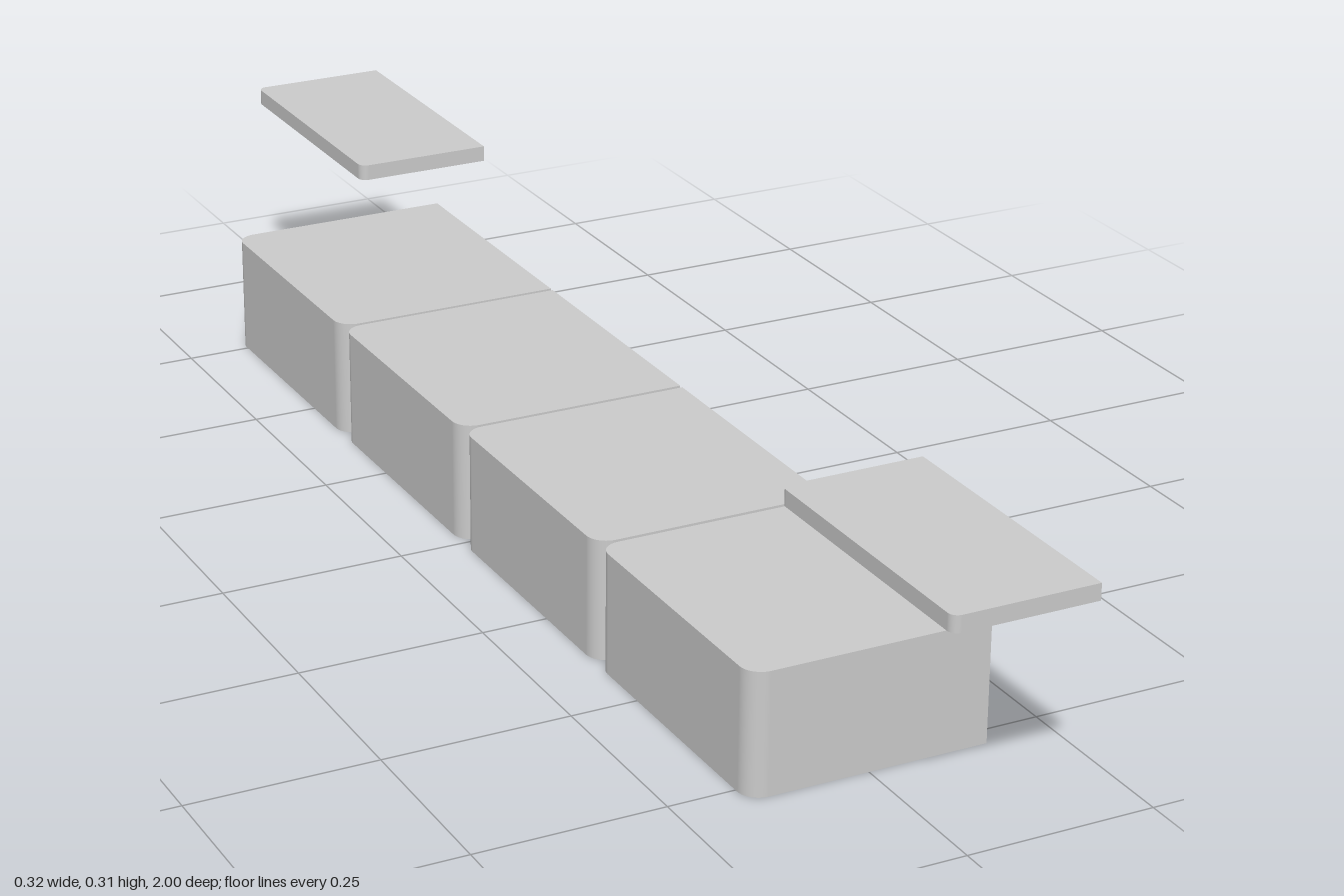
import * as THREE from 'three';

const material = new THREE.MeshStandardMaterial({ color: 0xcccccc, side: THREE.DoubleSide });

// Outline of a rectangle, square at +x and rounded at -x, as [x, z, normalX, normalZ]
function outline(x0, x1, length, r, steps = 10) {
  const h = length / 2;
  const points = [[x1, -h, 0, -1]];
  for (const [cz, start] of [[-h + r, 1.5], [h - r, 1]]) {
    for (let i = 0; i <= steps; i++) {
      const a = Math.PI * (start - 0.5 * i / steps);
      const c = Math.cos(a), s = Math.sin(a);
      points.push([x0 + r + r * c, cz + r * s, c, s]);
    }
  }
  points.push([x1, h, 0, 1]);
  return points;
}

function mesh(name, geometry) {
  const m = new THREE.Mesh(geometry, material);
  m.name = name;
  return m;
}

// Upright sheet following an outline, open at +x
function wall(name, points, y0, y1) {
  const n = points.length;
  const g = new THREE.PlaneGeometry(1, 1, n - 1, 1);
  for (let i = 0; i < 2 * n; i++) {
    const [x, z, nx, nz] = points[i % n];
    g.attributes.position.setXYZ(i, x, i < n ? y1 : y0, z);
    g.attributes.normal.setXYZ(i, nx, 0, nz);
  }
  return mesh(name, g);
}

// Flat sheet filling an outline, facing up or down
function sheet(name, points, y, up = true) {
  const shape = new THREE.Shape(points.map(([x, z]) => new THREE.Vector2(x, z)));
  const g = new THREE.ShapeGeometry(shape);
  g.rotateX(up ? -Math.PI / 2 : Math.PI / 2);
  return mesh(name, g.translate(0, y, 0));
}

// Base cabinet: walls on three sides under a closed worktop slab
function cabinet(z) {
  const group = new THREE.Group();
  group.name = 'cabinet';
  const length = 0.386, bottom = 0.14, top = 0.163, x1 = 0.161;
  const points = outline(-x1, x1, length, 0.027);
  const lip = new THREE.PlaneGeometry(length, top - bottom);
  lip.rotateY(Math.PI / 2).translate(x1, (top + bottom) / 2, 0);
  group.add(
    wall('cabinetWalls', points, 0, bottom),
    wall('worktopEdge', points, bottom, top),
    mesh('worktopLip', lip),
    sheet('worktopTop', points, top),
    sheet('worktopUnderside', points, bottom, false)
  );
  group.position.z = z;
  return group;
}

// Raised shelf: top sheet with a rim on three sides
function shelf(z) {
  const group = new THREE.Group();
  group.name = 'shelf';
  const points = outline(-0.032, 0.161, 0.386, 0.012);
  group.add(wall('shelfRim', points, 0.284, 0.306), sheet('shelfTop', points, 0.306));
  group.position.z = z;
  return group;
}

export function createModel() {
  const model = new THREE.Group();
  model.name = 'counterWithShelves';
  for (const i of [-1.5, -0.5, 0.5, 1.5]) model.add(cabinet(i * 0.392));
  for (const side of [-1, 1]) model.add(shelf(side * 0.807));
  return model;
}
